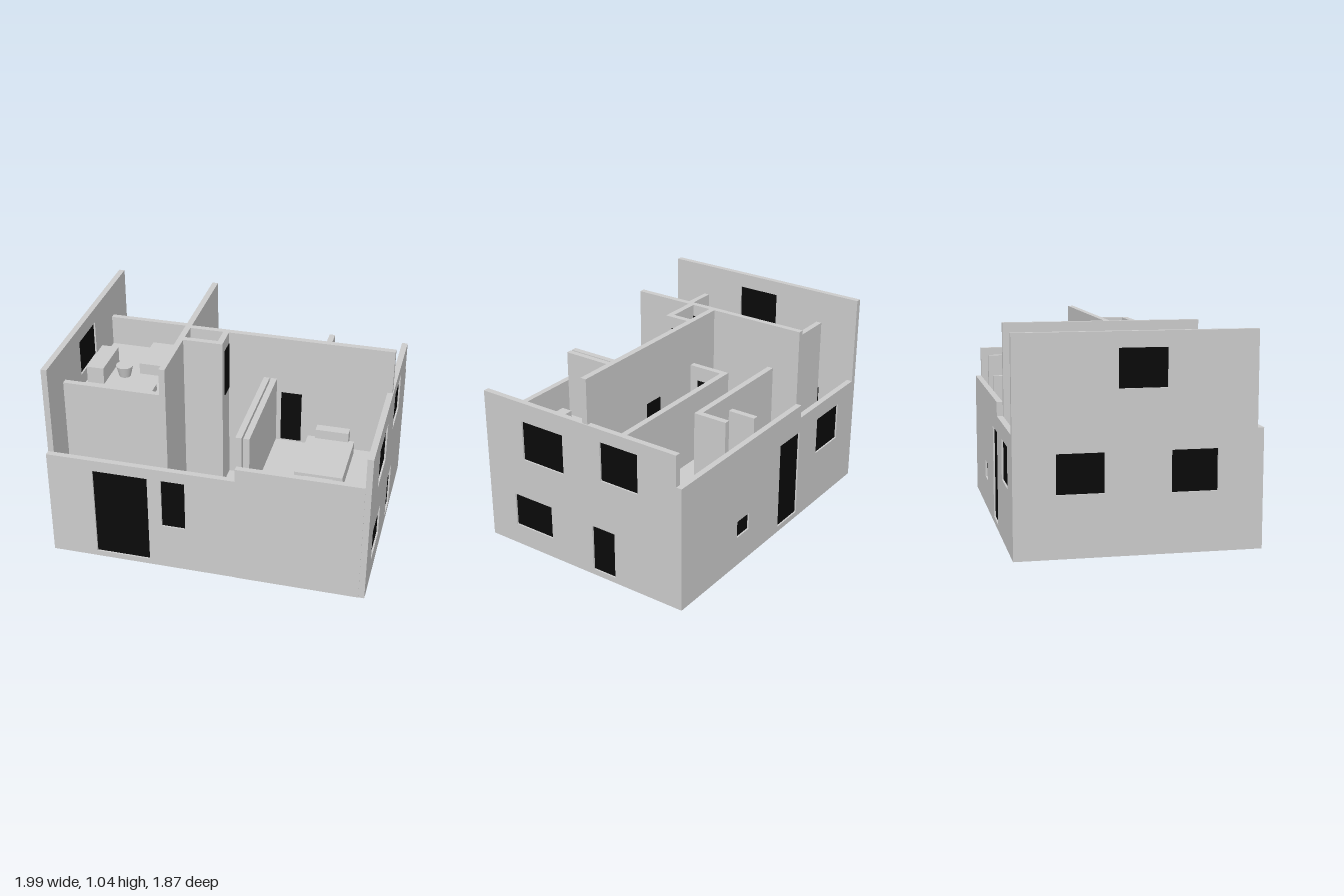
import * as THREE from 'three';

const T = 0.03; // wall thickness
const grey = new THREE.MeshStandardMaterial({ color: 0xcccccc });
const black = new THREE.MeshStandardMaterial({ color: 0x0a0a0a });

// Plan coordinates: u runs along the long facade, v from the entrance side to the back.
function box(parent, name, u0, u1, v0, v1, y0, y1, material = grey) {
  const mesh = new THREE.Mesh(new THREE.BoxGeometry(u1 - u0, y1 - y0, v1 - v0), material);
  mesh.position.set((u0 + u1) / 2, (y0 + y1) / 2, -(v0 + v1) / 2);
  mesh.name = name;
  parent.add(mesh);
}

// Upright wall along 'u' or 'v', from a to b, centred on c, with openings [a, b, bottom, top]
function wall(parent, name, axis, a, b, c, height, openings = [], panel = 0.012) {
  const shape = new THREE.Shape();
  shape.moveTo(a, 0).lineTo(b, 0).lineTo(b, height).lineTo(a, height).closePath();
  for (const [p, q, y0, y1] of openings) {
    const hole = new THREE.Path();
    hole.moveTo(p, y0).lineTo(p, y1).lineTo(q, y1).lineTo(q, y0).closePath();
    shape.holes.push(hole);
  }
  const geometry = new THREE.ExtrudeGeometry(shape, { depth: T, bevelEnabled: false });
  geometry.translate(0, 0, -T / 2);
  if (axis === 'v') geometry.rotateY(Math.PI / 2);
  const group = new THREE.Group();
  group.name = name;
  const mesh = new THREE.Mesh(geometry, grey);
  mesh.position.set(axis === 'v' ? c : 0, 0, axis === 'v' ? 0 : -c);
  mesh.name = name + 'Body';
  group.add(mesh);
  // Dark panes and door leaves filling the openings
  const h = panel / 2;
  for (const [p, q, y0, y1] of openings) {
    if (axis === 'u') box(group, 'darkPanel', p, q, c - h, c + h, y0, y1, black);
    else box(group, 'darkPanel', c - h, c + h, p, q, y0, y1, black);
  }
  parent.add(group);
}

export function createModel() {
  const model = new THREE.Group();
  model.name = 'house';
  const house = new THREE.Group();
  house.name = 'houseBody';
  house.rotation.y = -0.586;
  model.add(house);

  const U = 0.805, V = 0.59, Ui = U - T / 2, Vi = V - T / 2;
  const door = T + 0.008; // inner doors stand slightly proud

  // Outer walls
  wall(house, 'entranceWallLow', 'u', -U, 0.152, -Vi, 0.58,
    [[-0.57, -0.29, 0.03, 0.52], [-0.22, -0.1, 0.25, 0.52]]);
  wall(house, 'entranceWallHigh', 'u', 0.152, U - T, -Vi - 0.002, 0.65);
  wall(house, 'backWallLow', 'u', -U + T, -0.235, Vi, 0.58, [[-0.63, -0.41, 0.3, 0.5]]);
  wall(house, 'backWallHigh', 'u', -0.235, U, Vi, 0.65,
    [[-0.23, -0.045, 0.03, 0.5], [0.235, 0.34, 0.16, 0.25]]);
  wall(house, 'tallEndWall', 'v', -V + T, V, -Ui, 1.04,
    [[-0.13, 0.1, 0.78, 0.965], [0.165, 0.39, 0.3, 0.49], [-0.37, -0.15, 0.29, 0.49]]);
  wall(house, 'bedroomEndWall', 'v', -V, V - T, Ui, 0.81,
    [[-0.353, -0.1, 0.5, 0.71], [0.127, 0.343, 0.54, 0.745],
      [-0.425, -0.19, 0.11, 0.287], [0.067, 0.2, 0.03, 0.275]]);

  // Tall inner walls
  wall(house, 'crossWall', 'v', -0.42, V - T, -0.25, 1.04, [[-0.075, 0.02, 0.73, 0.98]], door);
  wall(house, 'spineWall', 'u', -0.235, U - 0.005, 0.04, 1.04, [[0.24, 0.345, 0.46, 0.735]], door);
  wall(house, 'hallFrontWall', 'u', -0.235, -0.035, -0.09, 1.04);
  wall(house, 'hallSideWall', 'v', -0.075, 0.025, -0.05, 1.04, [[-0.068, 0.02, 0.73, 0.98]], door);

  // Low walls beside the raised room
  for (const v of [-0.36, 0.37]) wall(house, 'raisedRoomWall', 'u', -U + T, -0.265, v, 0.87);

  // Bedroom and bathroom partitions
  for (const u of [0.162, 0.2]) wall(house, 'doublePartition', 'v', -V + T, 0.025, u, 0.81);
  wall(house, 'landingWall', 'v', 0.055, 0.235, -0.04, 0.81, [[0.1, 0.215, 0.46, 0.735]], door);
  wall(house, 'corridorWall', 'u', -0.055, U - T, 0.25, 0.81);
  wall(house, 'bathroomWall', 'u', -0.235, 0.415, 0.4, 0.81, [[0.265, 0.375, 0.46, 0.735]], door);
  wall(house, 'bathroomEndWall', 'v', 0.415, V - T, 0.4, 0.81);
  wall(house, 'bathroomScreen', 'v', 0.415, V - T, 0.15, 0.73);

  // Floors on split levels
  box(house, 'baseSlab', -U + 0.002, U - 0.002, -V + 0.002, V - 0.002, 0, 0.025);
  box(house, 'raisedFloor', -0.775, -0.265, -0.345, 0.355, 0.68, 0.71);
  box(house, 'hallFloor', -0.235, -0.065, -0.075, 0.025, 0.68, 0.71);
  box(house, 'livingFloor', -0.25, 0.15, -0.56, 0.03, 0.19, 0.21);
  box(house, 'bedroomFloor', 0.215, 0.775, -0.56, 0.025, 0.42, 0.45);
  box(house, 'rearFloor', -0.235, 0.775, 0.055, 0.56, 0.42, 0.45);

  // Furniture: name, centre u, v, size u, v, floor level, height
  const furniture = [
    ['bed', -0.43, 0.19, 0.2, 0.24, 0.71, 0.06],
    ['bed', -0.5, -0.21, 0.24, 0.2, 0.71, 0.06],
    ['desk', -0.72, 0.04, 0.09, 0.24, 0.71, 0.09],
    ['cabinet', -0.31, 0.23, 0.08, 0.13, 0.71, 0.1],
    ['cabinet', -0.31, -0.2, 0.08, 0.11, 0.71, 0.08],
    ['bench', -0.54, 0.45, 0.35, 0.07, 0.025, 0.1],
    ['coffeeTable', -0.145, -0.3, 0.09, 0.08, 0.21, 0.05],
    ['sofa', 0.04, -0.34, 0.17, 0.1, 0.21, 0.07],
    ['armchair', 0.08, -0.19, 0.08, 0.12, 0.21, 0.07],
    ['counter', -0.05, -0.49, 0.38, 0.13, 0.21, 0.08],
    ['bed', 0.51, -0.18, 0.24, 0.34, 0.45, 0.07],
    ['shelf', 0.516, 0, 0.17, 0.05, 0.45, 0.12],
    ['dresser', 0.523, -0.48, 0.14, 0.13, 0.45, 0.1],
    ['nightstand', 0.72, -0.53, 0.09, 0.06, 0.45, 0.06],
    ['nightstand', 0.31, -0.53, 0.08, 0.06, 0.45, 0.06],
    ['desk', 0.55, 0.2, 0.25, 0.07, 0.45, 0.09],
    ['armchair', 0.71, 0.32, 0.09, 0.1, 0.45, 0.07],
    ['showerTray', 0.49, 0.49, 0.13, 0.12, 0.45, 0.03],
    ['washbasin', 0.25, 0.52, 0.12, 0.07, 0.45, 0.08],
  ];
  for (const [name, u, v, w, d, y, h] of furniture)
    box(house, name, u - w / 2, u + w / 2, v - d / 2, v + d / 2, y - 0.002, y + h);

  // Round stool by the desk
  const stool = new THREE.Mesh(new THREE.CylinderGeometry(0.045, 0.03, 0.06, 20), grey);
  stool.position.set(-0.6, 0.74, -0.035);
  stool.name = 'stool';
  house.add(stool);

  return model;
}
